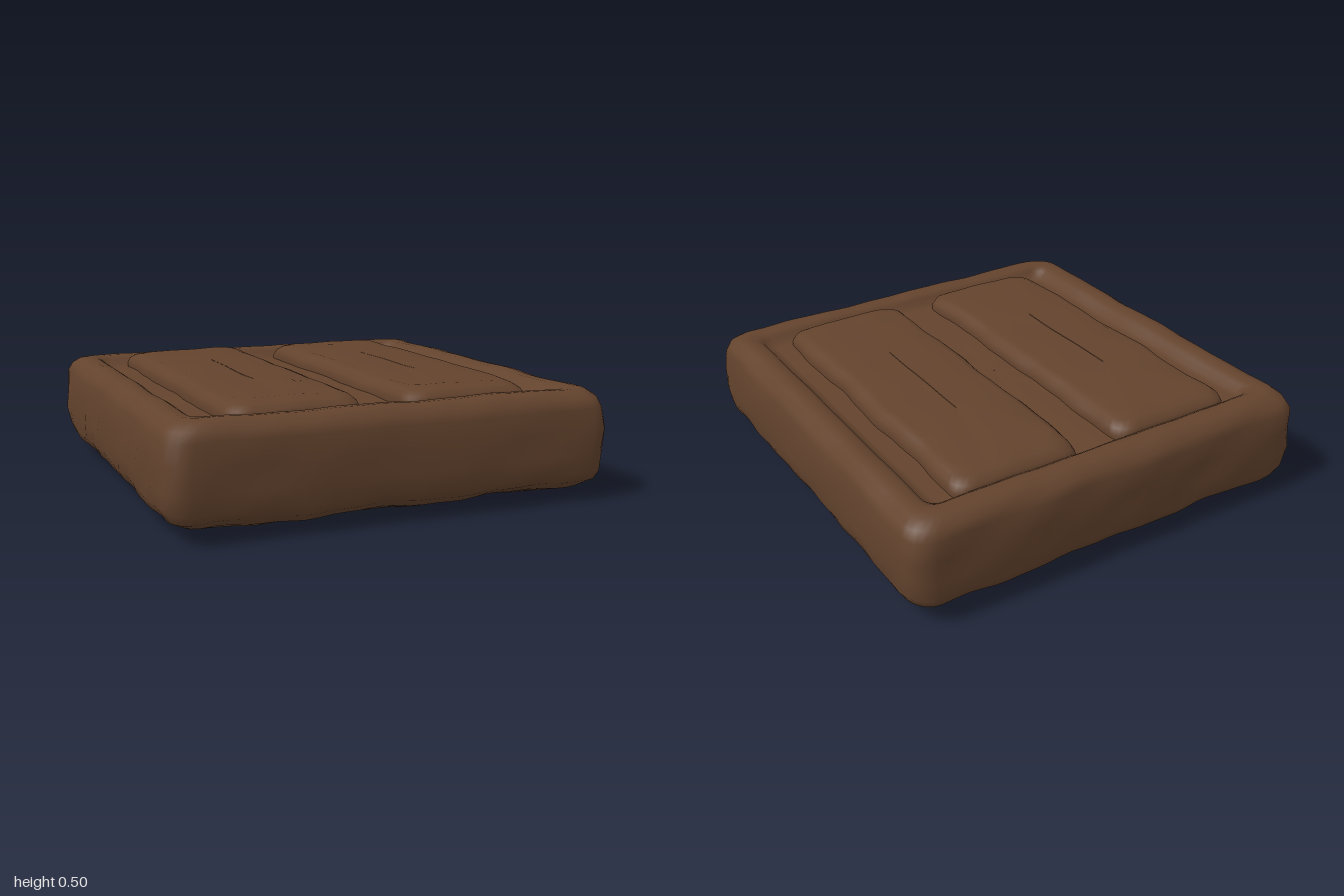
import * as THREE from 'three';

const SIDE = 28, CORNER = 5;

// Smooth lumpy noise, roughly -1..1
function lump(a, b, c) {
  return 0.5 * Math.sin(7.3 * a + 4.1 * b + 1.3 * c + 0.6) * Math.cos(5.9 * b - 2.7 * a + c)
    + 0.3 * Math.sin(15.1 * a - 9.7 * b + 6.0 * c)
    + 0.2 * Math.sin(27.0 * b + 11.0 * a + 8.0 * c + 2.0);
}

// Points of a rounded rectangle, running from +x towards +z
function ring(hx, hz, r) {
  r = Math.min(r, hx, hz);
  const pts = [];
  for (let q = 0; q < 4; q++) {
    const sx = q === 0 || q === 3 ? 1 : -1, sz = q < 2 ? 1 : -1;
    const cx = sx * (hx - r), cz = sz * (hz - r);
    for (let k = 0; k <= CORNER; k++) {
      const t = (q + k / CORNER) * Math.PI / 2;
      pts.push([cx + r * Math.cos(t), cz + r * Math.sin(t)]);
    }
    // straight run to the next corner
    const [x, z] = pts[pts.length - 1];
    const ex = q === 0 ? -x : q === 2 ? -x : x;
    const ez = q === 1 || q === 3 ? -z : z;
    for (let k = 1; k < SIDE; k++) {
      pts.push([x + (ex - x) * k / SIDE, z + (ez - z) * k / SIDE]);
    }
  }
  return pts;
}

// Closed skin through stacked rings [halfX, halfZ, y, cornerRadius], roughened by a rule
function loft(profile, roughen) {
  const pos = [], index = [];
  let n = 0;
  for (const [hx, hz, y, r] of profile) {
    const pts = ring(hx, hz, r);
    n = pts.length;
    for (const [x, z] of pts) pos.push(...roughen(x, y, z));
  }
  for (let j = 0; j < profile.length - 1; j++) {
    for (let i = 0; i < n; i++) {
      const a = j * n + i, b = j * n + (i + 1) % n;
      index.push(a, a + n, b, b, a + n, b + n);
    }
  }
  const g = new THREE.BufferGeometry();
  g.setAttribute('position', new THREE.Float32BufferAttribute(pos, 3));
  g.setIndex(index);
  g.computeVertexNormals();
  return g;
}

export function createModel() {
  const model = new THREE.Group();
  const brown = new THREE.MeshStandardMaterial({ color: 0x63432d });
  brown.name = 'brown';

  // Slab with worn edges, raised rim and sunken tray
  const slabProfile = [
    [0.001, 0.001, 0.025, 0.001], [0.25, 0.25, 0.025, 0.02], [0.5, 0.5, 0.025, 0.04],
    [0.68, 0.68, 0.025, 0.06], [0.81, 0.81, 0.032, 0.08], [0.9, 0.91, 0.065, 0.09],
    [0.95, 0.965, 0.1, 0.1], [0.968, 0.982, 0.14, 0.1], [0.977, 0.988, 0.22, 0.1],
    [0.977, 0.988, 0.32, 0.1], [0.968, 0.985, 0.41, 0.1], [0.95, 0.965, 0.45, 0.1],
    [0.915, 0.93, 0.477, 0.1], [0.88, 0.89, 0.484, 0.08], [0.84, 0.85, 0.481, 0.06],
    [0.815, 0.825, 0.465, 0.06], [0.795, 0.81, 0.435, 0.05], [0.76, 0.78, 0.43, 0.05],
    [0.4, 0.4, 0.44, 0.04], [0.001, 0.001, 0.44, 0.001],
  ];
  const slab = new THREE.Mesh(loft(slabProfile, (x, y, z) => {
    const edge = THREE.MathUtils.smoothstep(Math.max(Math.abs(x), Math.abs(z)), 0.8, 0.95);
    const s = 1 + 0.011 * edge * lump(x, z, 5 * y);
    const under = y < 0.15 ? 0.014 : 0.006;
    return [x * s, y + under * lump(z, x, 2), z * s];
  }), brown);
  slab.name = 'slab';
  model.add(slab);

  // Two raised panels with a groove between them
  for (const side of [-1, 1]) {
    const panelProfile = [
      [0.29, 0.81, 0.41, 0.06], [0.295, 0.815, 0.45, 0.07], [0.285, 0.805, 0.478, 0.08],
      [0.265, 0.77, 0.498, 0.08], [0.235, 0.71, 0.51, 0.08], [0.12, 0.55, 0.512, 0.05],
      [0.001, 0.3, 0.512, 0.001],
    ];
    const panel = new THREE.Mesh(loft(panelProfile, (x, y, z) => [
      x * (1 + 0.04 * lump(side + x, z, 1)), y + 0.005 * lump(z, x + side, 3), z,
    ]), brown);
    panel.name = side < 0 ? 'rightPanel' : 'leftPanel';
    panel.position.set(side * 0.39, 0, -0.01);
    model.add(panel);
  }
  return model;
}
